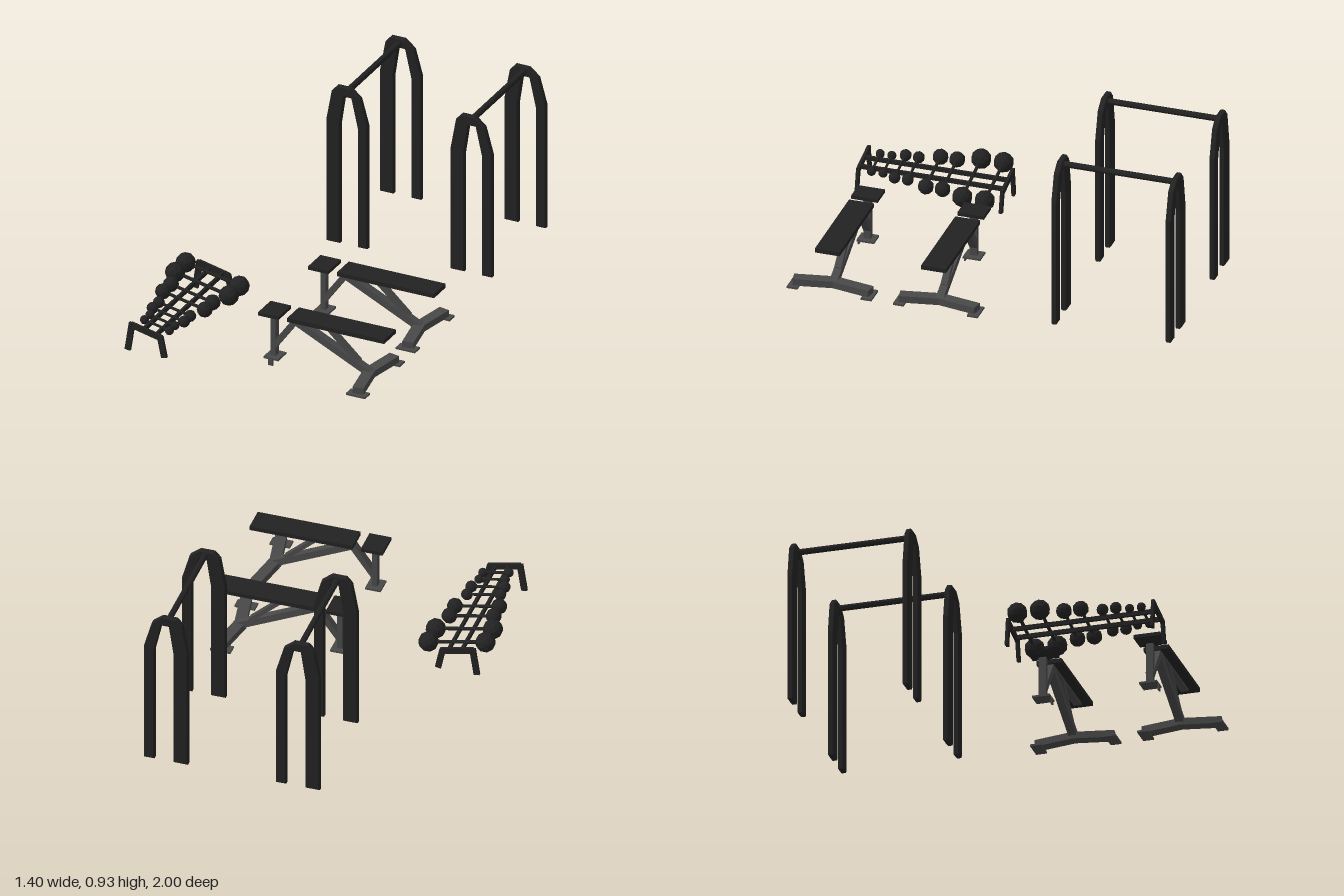
import * as THREE from 'three';

const black = new THREE.MeshStandardMaterial({ color: 0x222222, flatShading: true });
const steel = new THREE.MeshStandardMaterial({ color: 0x484848, flatShading: true });

function add(parent, name, geometry, material, x = 0, y = 0, z = 0) {
  const mesh = new THREE.Mesh(geometry, material);
  mesh.name = name;
  mesh.position.set(x, y, z);
  parent.add(mesh);
  return mesh;
}

const box = (parent, name, size, pos, material) =>
  add(parent, name, new THREE.BoxGeometry(...size), material, ...pos);

// Rectangular bar from a to b: "thick" lies in the upright plane, "wide" across it
function beam(parent, name, a, b, thick, wide, material) {
  const start = new THREE.Vector3(...a), end = new THREE.Vector3(...b);
  const dir = end.clone().sub(start);
  const mid = start.add(end).multiplyScalar(0.5);
  const mesh = add(parent, name, new THREE.BoxGeometry(wide, thick, dir.length()), material);
  mesh.position.copy(mid);
  mesh.lookAt(mid.clone().add(dir));
  return mesh;
}

// Round bar from a to b
function rod(parent, name, a, b, radius, material) {
  const start = new THREE.Vector3(...a), dir = new THREE.Vector3(...b).sub(start);
  const mesh = add(parent, name, new THREE.CylinderGeometry(radius, radius, dir.length(), 8), material);
  mesh.position.copy(start).addScaledVector(dir, 0.5);
  mesh.quaternion.setFromUnitVectors(new THREE.Vector3(0, 1, 0), dir.normalize());
}

// Two flat arches joined by a high bar
function pullUpStation(x) {
  const group = new THREE.Group();
  group.name = 'pullUpStation';
  const e = 0.005; // bevel
  const outline = [
    [-0.113, 0.07], [-0.113, 0.735], [-0.083, 0.9], [-0.054, 0.932], [0.02, 0.932],
    [0.073, 0.888], [0.113, 0.745], [0.113, 0.07], [0.06, 0.07], [0.06, 0.72],
    [0.024, 0.88], [-0.014, 0.88], [-0.038, 0.72], [-0.038, 0.07],
  ].map(p => new THREE.Vector2(...p));
  const arch = new THREE.ExtrudeGeometry(new THREE.Shape(outline), {
    depth: 0.03 - 2 * e, bevelEnabled: true, bevelSize: e, bevelThickness: e, bevelOffset: -e, bevelSegments: 1,
  });
  arch.translate(0, 0, e - 0.015);
  for (const z of [-0.985, -0.395]) add(group, 'arch', arch, black, 0, 0, z);
  rod(group, 'pullUpBar', [-0.006, 0.905, -0.985], [-0.006, 0.905, -0.395], 0.016, black);
  group.position.x = x;
  return group;
}

// Long pad with a separate small seat on a braced frame
function bench(z) {
  const group = new THREE.Group();
  group.name = 'bench';
  box(group, 'pad', [0.53, 0.022, 0.128], [0.432, 0.28, 0], black);
  box(group, 'padRail', [0.46, 0.012, 0.04], [0.42, 0.265, 0], steel);
  box(group, 'seat', [0.112, 0.018, 0.137], [0.066, 0.28, 0], black);
  const cap = new THREE.CylinderGeometry(0.062, 0.04, 0.017, 4).rotateY(Math.PI / 4);
  add(group, 'seatBracket', cap, black, 0.066, 0.263, 0);
  // Seat post and its foot
  box(group, 'seatPost', [0.026, 0.235, 0.037], [0.067, 0.147, 0], steel);
  box(group, 'frontFootPlate', [0.08, 0.01, 0.09], [0.068, 0.035, 0], steel);
  box(group, 'footPin', [0.026, 0.034, 0.008], [0.067, 0.017, 0.045], steel);
  // Braces
  beam(group, 'frontBrace', [0.067, 0.09, 0], [0.19, 0.26, 0], 0.03, 0.04, steel);
  beam(group, 'mainBeam', [0.18, 0.257, 0], [0.6, 0.055, 0], 0.036, 0.04, steel);
  beam(group, 'rearBrace', [0.35, 0.27, 0], [0.53, 0.105, 0], 0.022, 0.035, steel);
  // Splayed rear legs
  for (const s of [-1, 1]) {
    beam(group, 'rearLeg', [0.583, 0.056, -0.01 * s], [0.622, 0.056, 0.2 * s], 0.036, 0.058, steel);
    box(group, 'rearFootPlate', [0.105, 0.01, 0.055], [0.617, 0.035, 0.191 * s], steel);
  }
  group.position.z = z;
  return group;
}

// Sloping stand carrying pairs of round weights
function dumbbellRack() {
  const group = new THREE.Group();
  group.name = 'dumbbellRack';
  const slope = -0.21, cx = -0.503;
  const height = x => 0.137 + slope * (x - cx);
  for (const z of [0.247, 0.99]) {
    beam(group, 'endRail', [-0.608, 0.15, z], [-0.44, 0.112, z], 0.03, 0.015, black);
    beam(group, 'rackLeg', [-0.603, 0.16, z], [-0.626, 0.01, z], 0.03, 0.015, black);
    beam(group, 'rackLeg', [-0.449, 0.12, z], [-0.426, 0.01, z], 0.03, 0.015, black);
  }
  for (const x of [-0.545, -0.477]) {
    beam(group, 'longRail', [x, height(x) - 0.014, 0.247], [x, height(x) - 0.014, 0.99], 0.022, 0.014, black);
  }
  // [z, half length, head radius]
  const sets = [
    [0.307, 0.147, 0.051], [0.423, 0.147, 0.051], [0.536, 0.114, 0.04], [0.622, 0.114, 0.04],
    [0.725, 0.086, 0.03], [0.793, 0.086, 0.03], [0.858, 0.068, 0.023], [0.918, 0.068, 0.023],
  ];
  for (const [z, half, radius] of sets) {
    const ends = [cx - half, cx + half].map(x => [x, height(x), z]);
    rod(group, 'handle', ends[0], ends[1], 0.005 + radius * 0.08, black);
    for (const p of ends) add(group, 'weight', new THREE.IcosahedronGeometry(radius, 1), black, ...p);
  }
  return group;
}

export function createModel() {
  const model = new THREE.Group();
  model.name = 'outdoorGym';
  model.add(pullUpStation(-0.113), pullUpStation(0.567));
  model.add(bench(0.221), bench(0.769));
  model.add(dumbbellRack());
  return model;
}
